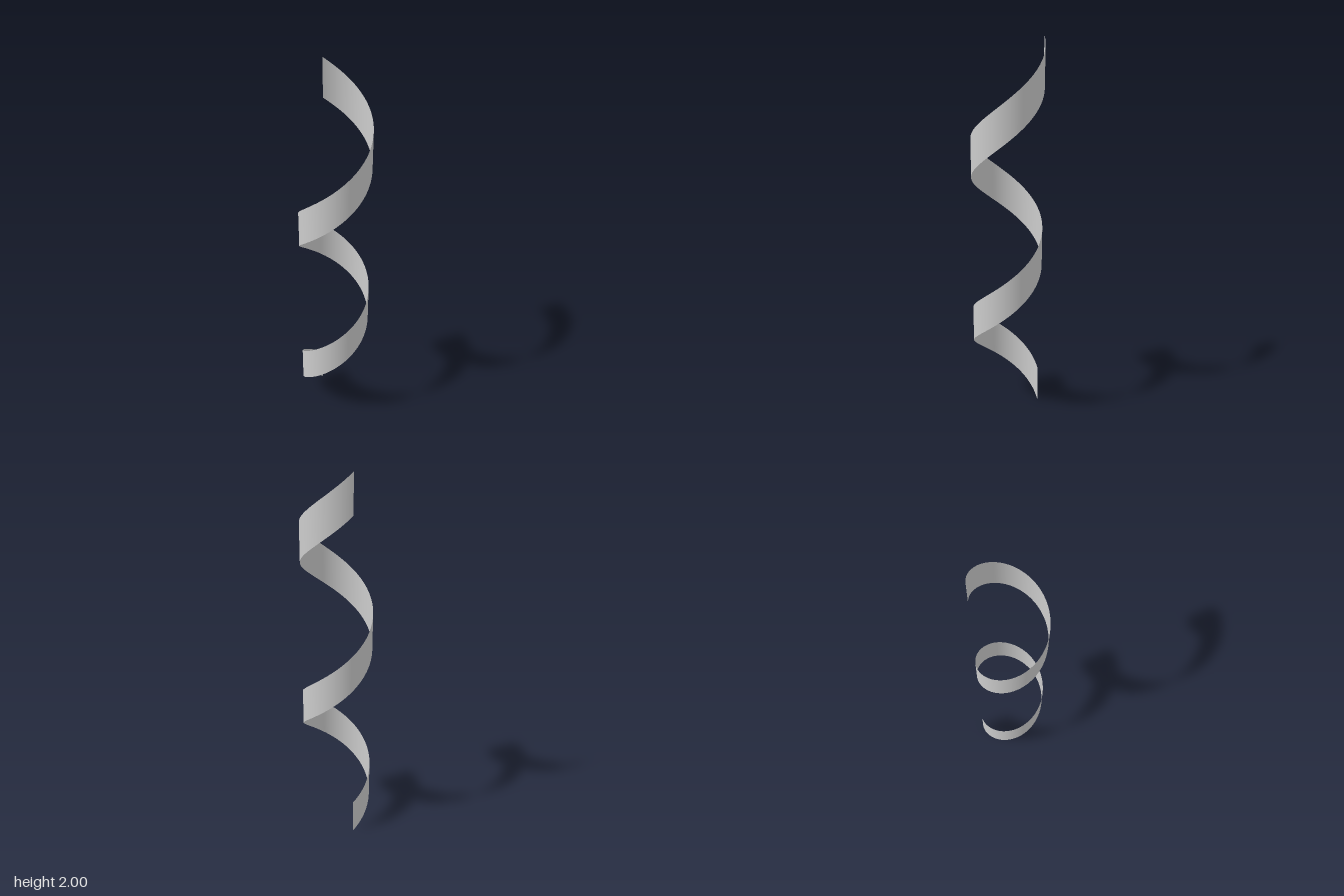
import * as THREE from 'three';

const RADIUS = 0.177, HEIGHT = 2, BAND = 0.198;
const GAP = 0.045; // angle the ribbon falls short of the back line at each end
const SEGMENTS = 192;

// A flat strip wrapped into a two-turn helix of zero thickness
function helixRibbon() {
  const geometry = new THREE.PlaneGeometry(1, BAND, SEGMENTS, 1);
  const position = geometry.attributes.position;
  const normal = geometry.attributes.normal;
  for (let i = 0; i < position.count; i++) {
    const u = position.getX(i) + 0.5;
    const angle = GAP + u * (4 * Math.PI - 2 * GAP);
    const sx = -Math.sin(angle), sz = -Math.cos(angle);
    const y = position.getY(i) + BAND / 2 + u * (HEIGHT - BAND);
    position.setXYZ(i, RADIUS * sx, y, RADIUS * sz);
    normal.setXYZ(i, sx, 0, sz);
  }
  return geometry;
}

export function createModel() {
  const group = new THREE.Group();
  group.name = 'helix';
  const material = new THREE.MeshStandardMaterial({ color: 0xcccccc, side: THREE.DoubleSide });
  const ribbon = new THREE.Mesh(helixRibbon(), material);
  ribbon.name = 'spiralRibbon';
  group.add(ribbon);
  return group;
}
